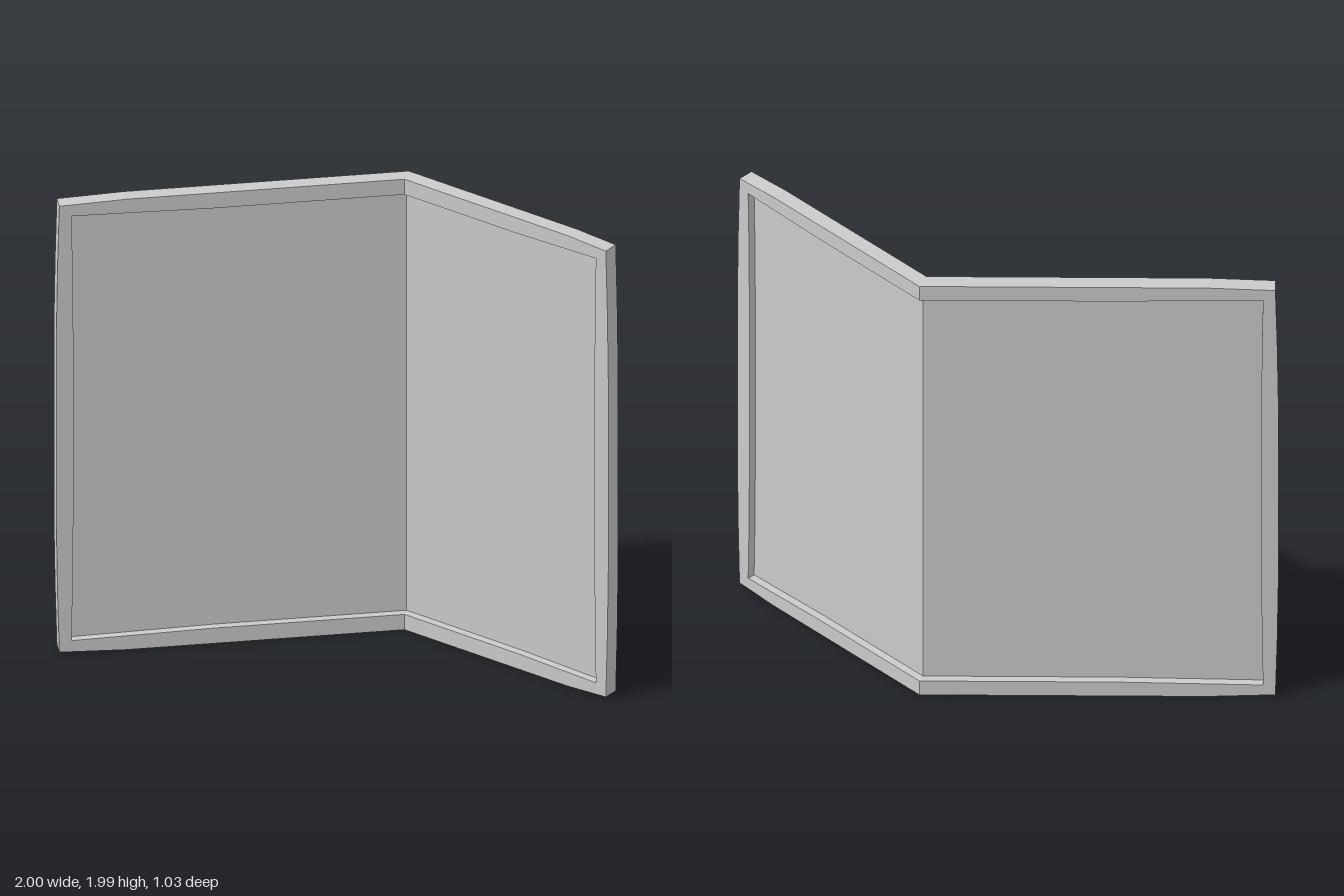
import * as THREE from 'three';

const H = 0.9925;         // half height
const DEPTH = 0.065;      // frame thickness
const MITER = Math.tan(Math.PI / 8);

// Mirrors the upper half of an edge downward and turns it into world heights.
function symmetric(points, side) {
  const lower = points.map(([u, y]) => [u, -y]).reverse();
  return [...points, ...lower].map(([u, y]) => new THREE.Vector2(side * u, y + H));
}

// Slides vertices along the wing so that both wings meet in a miter at the bend.
function miter(geometry, side, length) {
  const p = geometry.attributes.position;
  for (let i = 0; i < p.count; i++) {
    const fade = 1 - Math.min(1, Math.abs(p.getX(i)) / (0.2 * length));
    p.setX(i, p.getX(i) + side * p.getZ(i) * MITER * fade);
  }
  geometry.computeVertexNormals();
  return geometry;
}

// One wing: a C-shaped frame, open at the bend, around a thin sheet.
function createWing(side, length) {
  const wing = new THREE.Group();
  const outer = symmetric([
    [0, H], [0.2 * length, H], [0.8 * length, H], [length - 0.012, H - 0.01],
    [length - 0.005, 0.72], [length, 0.4],
  ], side);
  const inner = symmetric([
    [0, 0.925], [0.2 * length, 0.925], [0.55 * length, 0.925], [length - 0.06, 0.935],
    [length - 0.064, 0.72], [length - 0.067, 0.4],
  ], side);

  const material = new THREE.MeshStandardMaterial({ color: 0xcccccc, side: THREE.DoubleSide });
  const frameGeometry = new THREE.ExtrudeGeometry(
    new THREE.Shape([...outer, ...inner.slice().reverse()]),
    { depth: DEPTH, bevelEnabled: false, steps: 1 },
  );
  frameGeometry.translate(0, 0, -DEPTH / 2);
  const frame = new THREE.Mesh(miter(frameGeometry, side, length), material);
  frame.name = 'frame';

  // Sheet set halfway into the frame
  const sheet = new THREE.Mesh(new THREE.ShapeGeometry(new THREE.Shape(inner)), material);
  sheet.name = 'panel';

  wing.add(frame, sheet);
  wing.position.set(0.003, 0, -0.4875);
  return wing;
}

export function createModel() {
  const model = new THREE.Group();
  model.name = 'bentPanel';

  const straightWing = createWing(1, 0.997);
  straightWing.name = 'leftWing';

  const angledWing = createWing(-1, 1.383);
  angledWing.rotation.y = Math.PI / 4;
  angledWing.name = 'rightWing';

  model.add(straightWing, angledWing);
  return model;
}
